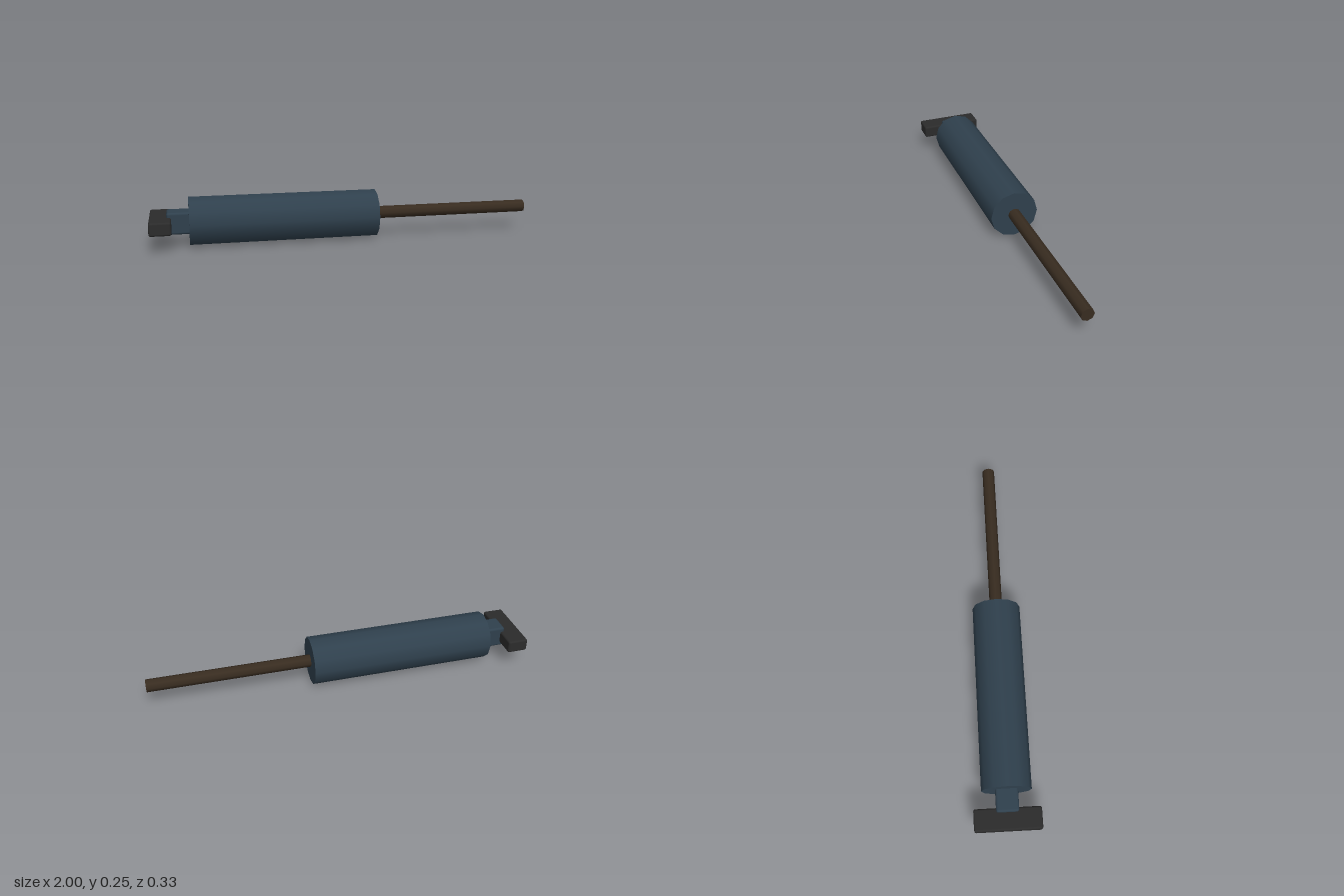
import * as THREE from 'three';
import { RoundedBoxGeometry } from 'three/addons/geometries/RoundedBoxGeometry.js';

const AXIS_Y = 0.126;

export function createModel() {
  const group = new THREE.Group();
  const material = (name, color) => {
    const m = new THREE.MeshStandardMaterial({ color });
    m.name = name;
    return m;
  };
  const blue = material('slate blue', 0x2f404d);
  const black = material('charcoal', 0x2b2b2b);
  const brown = material('dark brown', 0x382c20);

  const add = (name, geometry, mat, x) => {
    const mesh = new THREE.Mesh(geometry, mat);
    mesh.name = name;
    mesh.position.set(x, AXIS_Y, 0);
    group.add(mesh);
  };
  // Cylinder lying along x, from x0 to x1, with a corner at the top
  const bar = (name, radius, x0, x1, sides, mat) => add(name,
    new THREE.CylinderGeometry(radius, radius, x1 - x0, sides).rotateZ(-Math.PI / 2),
    mat, (x0 + x1) / 2);

  // Main barrel and thin rod
  bar('barrel', 0.125, -0.805, 0.16, 12, blue);
  bar('rod', 0.033, 0.15, 1, 8, brown);

  // Neck block between the barrel and the cross handle
  add('neck', new RoundedBoxGeometry(0.13, 0.112, 0.112, 2, 0.012), blue, -0.85);

  // Cross handle running front to back
  add('crossHandle', new RoundedBoxGeometry(0.108, 0.067, 0.333, 2, 0.01), black, -0.946);

  return group;
}
